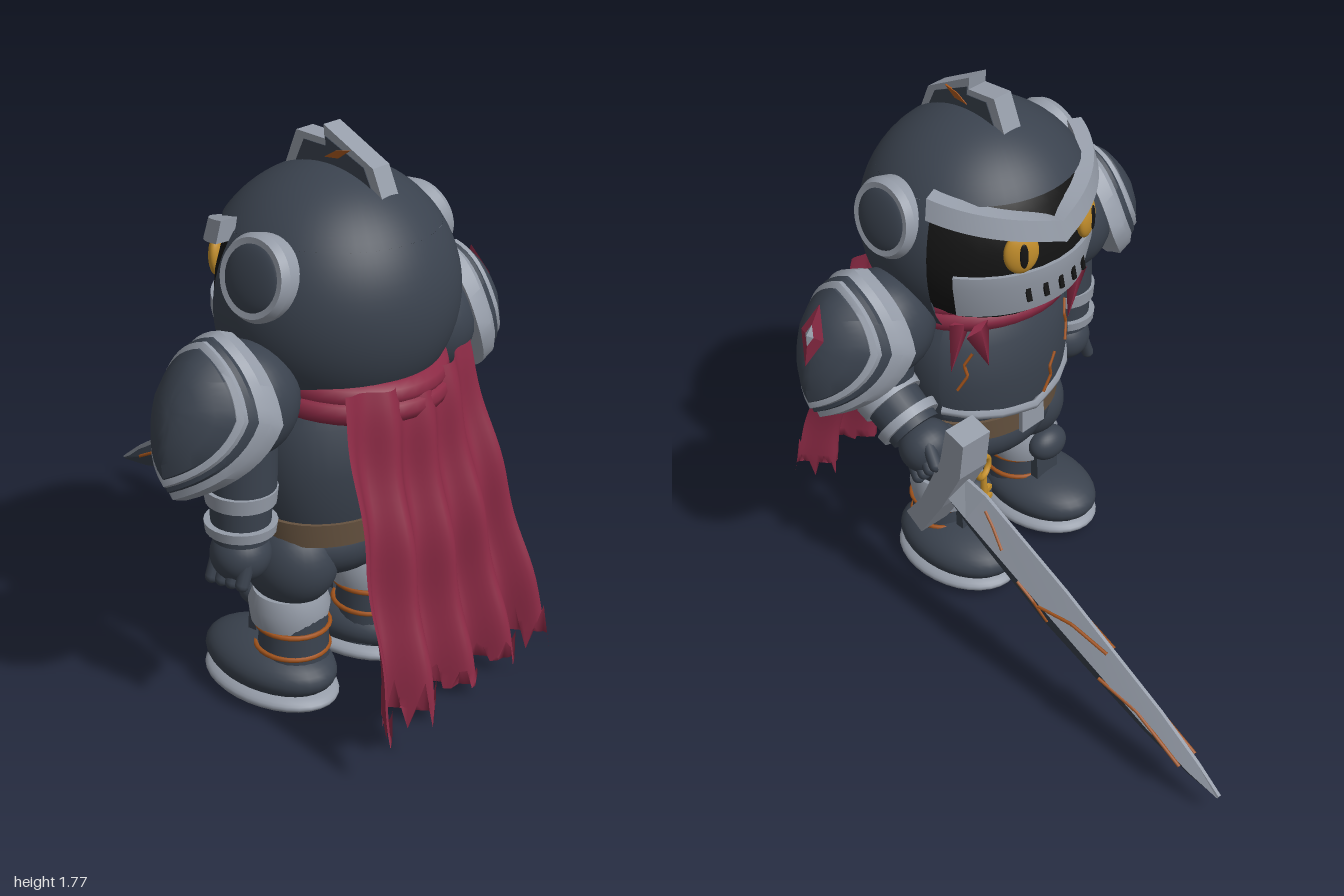
import * as THREE from 'three';
import { toCreasedNormals } from 'three/addons/utils/BufferGeometryUtils.js';

const V = (x, y, z) => new THREE.Vector3(x, y, z);
const paint = (name, color, side = THREE.FrontSide) => Object.assign(new THREE.MeshStandardMaterial({ color, side }), { name });

// Closed solid through rings of points, wound outward
function loft(rings, crease = 0.6) {
  const n = rings[0].length, pts = rings.flat(), idx = [];
  for (let i = 0; i < rings.length - 1; i++) for (let j = 0; j < n; j++) {
    const a = i * n + j, b = i * n + (j + 1) % n;
    idx.push(a, b, b + n, a, b + n, a + n);
  }
  [0, rings.length - 1].forEach((r, end) => {
    const c = pts.length;
    pts.push(rings[r].reduce((s, p) => s.add(p), V(0, 0, 0)).divideScalar(n));
    for (let j = 0; j < n; j++) {
      const a = r * n + j, b = r * n + (j + 1) % n;
      end ? idx.push(c, a, b) : idx.push(c, b, a);
    }
  });
  let volume = 0;
  for (let i = 0; i < idx.length; i += 3) volume += pts[idx[i]].dot(pts[idx[i + 1]].clone().cross(pts[idx[i + 2]]));
  if (volume < 0) idx.reverse();
  const g = new THREE.BufferGeometry().setFromPoints(pts);
  g.setIndex(idx);
  return toCreasedNormals(g, crease);
}

// Flat plate drawn as (z, y) points, thick along x
function plate(points, depth) {
  const g = new THREE.ExtrudeGeometry(new THREE.Shape(points.map(p => new THREE.Vector2(...p))), { depth, bevelEnabled: false });
  return g.translate(0, 0, -depth / 2).rotateY(-Math.PI / 2);
}

const ball = (x, y, z) => new THREE.SphereGeometry(1, 32, 20).scale(x, y, z);
const lathe = (pts, start = 0, len = Math.PI * 2) => toCreasedNormals(
  new THREE.LatheGeometry(pts.map(p => new THREE.Vector2(...p)), 40, start, len), 0.6);
const cord = (pts, r) => {
  const path = new THREE.CurvePath();
  for (let i = 1; i < pts.length; i++) path.add(new THREE.LineCurve3(pts[i - 1], pts[i]));
  return new THREE.TubeGeometry(path, 16, r, 5);
};

export function createModel() {
  const dark = paint('dark steel', 0x3a424e, THREE.DoubleSide), steel = paint('pale steel', 0x959ca8, THREE.DoubleSide);
  const red = paint('red cloth', 0x8c2a45, THREE.DoubleSide), black = paint('black', 0x141414);
  const gold = paint('gold', 0xc48f2c), rust = paint('rust', 0xa3541c), leather = paint('leather', 0x65523f);
  const root = new THREE.Group();
  const group = (name, x = 0, y = 0, z = 0, parent = root) => {
    const g = new THREE.Group();
    g.name = name; g.position.set(x, y, z); parent.add(g);
    return g;
  };
  const add = (parent, name, geo, mat, x = 0, y = 0, z = 0, rx = 0, ry = 0, rz = 0) => {
    const m = new THREE.Mesh(geo, mat);
    m.name = name; m.position.set(x, y, z); m.rotation.set(rx, ry, rz); parent.add(m);
    return m;
  };

  // Helmet: domed cap and back shell around a black face
  const head = group('head', 0, 1.29, 0.4), gap = 1.22, R = 0.375;
  add(head, 'helmetCap', new THREE.SphereGeometry(R, 48, 16, 0, Math.PI * 2, 0, 0.98), dark);
  add(head, 'helmetShell', new THREE.SphereGeometry(R, 48, 24, Math.PI * 1.5 + gap, 2 * Math.PI - 2 * gap, 0.98, Math.PI - 0.98), dark);
  add(head, 'face', ball(0.335, 0.35, 0.335), black);
  add(head, 'chinGuard', lathe([[0.27, -0.17], [0.32, -0.17], [0.345, -0.06], [0.345, -0.02], [0.31, -0.02], [0.27, -0.17]], Math.PI - 1.03, 2.06), steel);
  for (let i = -2; i <= 2; i++) {
    const a = i * 0.18;
    add(head, 'breathSlot', new THREE.BoxGeometry(0.016, 0.075, 0.008), black, 0.338 * Math.sin(a), -0.085, -0.338 * Math.cos(a), 0.2, -a, 0);
  }
  const browRings = [];
  for (let i = -16; i <= 16; i++) {
    const a = i / 16 * 1.22, y = 0.085 + 0.13 * Math.pow(Math.abs(i) / 16, 0.8);
    browRings.push([[0.31, -0.03], [0.365, -0.035], [0.35, 0.03], [0.3, 0.035]].map(([r, h]) => V(r * Math.sin(a), y + h, -r * Math.cos(a))));
  }
  add(head, 'brow', loft(browRings), steel);
  for (const s of [-1, 1]) {
    const eye = group('eye', s * 0.14, 0.055, -0.312, head);
    eye.rotation.y = -s * 0.42;
    add(eye, 'iris', ball(0.056, 0.07, 0.025), gold);
    add(eye, 'pupil', ball(0.014, 0.042, 0.006), black, 0, 0, -0.023);
    const ear = group('earDisc', s * 0.345, 0.125, 0.035, head);
    ear.rotation.z = -s * (Math.PI / 2 - 0.2);
    add(ear, 'earRim', lathe([[0, -0.06], [0.12, -0.06], [0.125, 0.01], [0.112, 0.032], [0.095, 0.03], [0, 0.02]]), steel);
    add(ear, 'earBoss', ball(0.1, 0.025, 0.1), dark, 0, 0.022, 0);
  }
  // Crest with inset panels and a crack
  const crest = [[0.62, 1.57], [0.57, 1.68], [0.39, 1.77], [0.395, 1.73], [0.29, 1.735], [0.24, 1.6], [0.42, 1.55]];
  add(root, 'crest', plate(crest, 0.07), steel);
  add(root, 'crestPanel', plate(crest.map(([z, y]) => [0.43 + (z - 0.43) * 0.78, 1.67 + (y - 1.67) * 0.68]), 0.076), dark);
  add(root, 'crestCrack', plate([[0.49, 1.715], [0.45, 1.685], [0.4, 1.68], [0.44, 1.705]], 0.082), rust);

  // Torso, breastplate, belt
  const body = group('body', 0, 0, 0.42);
  body.scale.z = 0.8;
  add(body, 'torso', lathe([[0, 0.55], [0.24, 0.57], [0.27, 0.66], [0.295, 0.8], [0.28, 0.95], [0.2, 1.07], [0, 1.1]]), dark);
  add(body, 'breastplate', lathe([[0.27, 0.68], [0.295, 0.68], [0.315, 0.8], [0.3, 0.95], [0.25, 1.02], [0.2, 1.02]], Math.PI - 1.15, 2.3), dark);
  const hem = [-1.15, -0.75, -0.4, 0, 0.4, 0.75, 1.15].map(a => V(0.302 * Math.sin(a), 0.66 + 0.05 * Math.abs(a), -0.302 * Math.cos(a)));
  add(body, 'breastplateTrim', cord(hem, 0.016), steel);
  add(body, 'hips', ball(0.25, 0.14, 0.25), dark, 0, 0.53, 0);
  add(body, 'belt', lathe([[0.24, 0.57], [0.272, 0.57], [0.278, 0.645], [0.24, 0.645]]), leather);
  add(body, 'buckle', new THREE.BoxGeometry(0.1, 0.085, 0.02), steel, 0, 0.607, -0.28);
  for (const [a, y] of [[-0.75, 0.88], [0.75, 0.88], [-0.3, 0.76]]) {
    const crack = [[0, 0.06], [0.1, 0.02], [0.06, -0.02], [0.18, -0.07]].map(([d, h]) => {
      const t = a + d, r = 0.318 - Math.abs(y + h - 0.8) * 0.1;
      return V(r * Math.sin(t), y + h, -r * Math.cos(t));
    });
    add(body, 'chestCrack', cord(crack, 0.006), rust);
  }

  // Scarf rolls and front tatters
  [[1.09, 0.26], [1.045, 0.27]].forEach(([y, r]) =>
    add(root, 'scarfRoll', new THREE.TorusGeometry(r, 0.042, 10, 40).scale(1, 1.03, 1), red, 0, y, 0.455, Math.PI / 2 + 0.06, 0, 0));
  for (const s of [-1, 1]) for (const [dx, a] of [[0, 0.25], [0.06, -0.3]])
    add(root, 'scarfTatter', new THREE.ConeGeometry(0.05, 0.17, 4).scale(1, 1, 0.3), red, s * (0.2 + dx), 0.98, 0.2 + dx, Math.PI, 0, s * a);

  // Cape: folded sheet with a torn hem
  const cape = new THREE.PlaneGeometry(2, 1, 64, 28), cp = cape.attributes.position;
  for (let i = 0; i < cp.count; i++) {
    const u = cp.getX(i), v = 0.5 - cp.getY(i), col = i % 65;
    const tear = v > 0.99 ? [0, 0.05, 0.1, 0.04][col % 4] - 0.03 * Math.sin(col * 1.7) : 0;
    cp.setXYZ(i, u * (0.28 + 0.105 * v), 1.1 - 0.93 * v + tear + 0.02 * (1 - v) * u * u,
      0.74 + 0.2 * v - 0.06 * u * u * (1 - v) + (0.012 + 0.04 * v) * Math.cos(u * Math.PI * 4) + 0.008 * Math.sin(v * 16 + 2 * u * u));
  }
  cape.computeVertexNormals();
  add(root, 'cape', cape, red);

  // Pauldrons: layered shield-shaped domes
  const half = new THREE.Path().moveTo(0, 0.24).quadraticCurveTo(0.14, 0.2, 0.19, 0.04).quadraticCurveTo(0.18, -0.14, 0, -0.24).getPoints(9);
  const outline = [...half, ...half.slice(1, -1).reverse().map(p => new THREE.Vector2(-p.x, p.y))];
  const shield = steps => loft(steps.map(([s, d]) => outline.map(p => V(d - 2.3 * (p.x * s) ** 2, p.y * s, p.x * s))));
  for (const s of [-1, 1]) {
    const p = group('pauldron', s * 0.555, 1.07, 0.43);
    p.rotation.set(0, s < 0 ? Math.PI : 0, 0.39);
    add(p, 'rim', shield([[0.8, -0.025], [1, -0.025], [1, 0.03], [0.9, 0.05]]), steel);
    add(p, 'rimGroove', shield([[0.93, 0.02], [0.91, 0.06], [0.84, 0.07]]), dark);
    add(p, 'innerRing', shield([[0.87, 0.04], [0.85, 0.082], [0.78, 0.088]]), steel);
    add(p, 'dome', shield([[0.8, 0.06], [0.76, 0.094], [0.6, 0.115], [0.4, 0.13], [0.2, 0.137], [0.04, 0.14]]), dark);
    if (s > 0) {
      add(p, 'diamond', new THREE.OctahedronGeometry(1).scale(0.018, 0.1, 0.05), red, 0.14, 0.04, 0);
      add(p, 'diamondHeart', new THREE.OctahedronGeometry(1).scale(0.012, 0.035, 0.018), steel, 0.152, 0.04, 0);
    }
  }

  // Arms: the right-hand one hangs, the sword arm bends forward
  for (const s of [-1, 1]) {
    const arm = group(s > 0 ? 'swordArm' : 'restingArm');
    add(arm, 'shoulder', ball(0.165, 0.17, 0.16), dark, s * 0.4, 1.07, 0.43);
    add(arm, 'upperArm', new THREE.CapsuleGeometry(0.1, 0.18, 8, 24), dark, s * 0.41, 0.91, 0.44);
    const fore = group('forearm', s * 0.415, 0.83, 0.44, arm);
    fore.rotation.x = s > 0 ? 0.98 : 0;
    add(fore, 'sleeve', new THREE.CylinderGeometry(0.095, 0.085, 0.2, 24), dark, 0, -0.08, 0);
    [[-0.04, 0.045], [-0.14, 0.03]].forEach(([y, h]) =>
      add(fore, 'wristBand', new THREE.CylinderGeometry(0.107, 0.103, h, 24), steel, 0, y, 0));
    add(fore, 'hand', ball(0.09, 0.085, 0.09), dark, 0, -0.235, 0);
    for (let i = 0; i < 4; i++)
      add(fore, 'finger', new THREE.CapsuleGeometry(0.021, 0.07, 4, 10), dark, s * 0.045, -0.28 + i * 0.006, -0.06 + i * 0.04, 0, 0, s * 0.35);
    add(fore, 'thumb', new THREE.CapsuleGeometry(0.024, 0.06, 4, 10), dark, -s * 0.07, -0.26, -0.04, 0.4, 0, 0);
  }

  // Sword: local y runs to the tip, local z to the upper edge
  const sword = group('sword', 0.425, 0.63, 0.12);
  sword.rotation.set(-2.02, 0, -0.03);
  const blade = [[0.03, 0.06, -0.09, 0.045], [0.12, 0.082, -0.105, 0.045], [0.5, 0.078, -0.125, 0.042], [0.95, 0.048, -0.09, 0.034], [1.13, 0.02, -0.055, 0.02], [1.24, -0.008, -0.018, 0.002]];
  add(sword, 'blade', loft(blade.map(([y, a, b, t]) => [V(0, y, a), V(t, y, -0.015), V(0, y, b), V(-t, y, -0.015)]), 0.1), dark);
  add(sword, 'bladeBevel', loft(blade.map(([y, a, , t]) => [V(-0.008, y, a + 0.003), V(0.003, y, a + 0.004), V(t + 0.003, y, -0.012), V(0, y, -0.012)]), 0.1), steel);
  const cracks = [[[0.15, 0.055], [0.2, 0.04], [0.27, 0.012]], [[0.37, -0.016], [0.44, -0.03], [0.51, -0.08]],
    [[0.47, -0.017], [0.58, 0.03], [0.72, 0.055]], [[0.75, -0.024], [0.9, 0], [1.1, -0.01]]];
  for (const c of cracks) for (const s of [-1, 1])
    add(sword, 'bladeCrack', cord(c.map(([y, z]) => V(s * (0.045 * (1 - Math.abs(z + 0.015) / 0.1) * (y > 0.8 ? 0.75 : 1) + 0.003), y, z)), 0.006), rust);
  add(sword, 'guard', plate([[0.237, -0.076], [0.25, 0.002], [0.12, 0.042], [-0.063, 0.034], [-0.254, 0.01], [-0.244, -0.07], [-0.12, -0.045], [0.1, -0.045]], 0.11), steel);
  add(sword, 'grip', new THREE.CylinderGeometry(0.03, 0.03, 0.24, 14), leather, 0, -0.14, 0);
  add(sword, 'pommel', ball(0.045, 0.04, 0.045), steel, 0, -0.27, 0);

  // Legs and boots
  for (const s of [-1, 1]) {
    const leg = group('leg', s * 0.18, 0, 0.42);
    add(leg, 'thigh', ball(0.135, 0.15, 0.155), dark, 0, 0.48, 0);
    add(leg, 'shin', new THREE.CylinderGeometry(0.1, 0.115, 0.26, 24), dark, 0, 0.21, 0.02);
    add(leg, 'bootCuff', lathe([[0.09, 0.27], [0.116, 0.27], [0.125, 0.33], [0.11, 0.375], [0.08, 0.375]]), steel);
    add(leg, 'kneeCap', ball(0.075, 0.06, 0.055), dark, 0, 0.33, -0.12);
    add(leg, 'shinGuard', new THREE.BoxGeometry(0.1, 0.18, 0.03), dark, 0, 0.24, -0.105);
    [0.19, 0.265].forEach(y => add(leg, 'bootStrap', new THREE.TorusGeometry(0.112, 0.008, 6, 28), rust, 0, y, 0.015, Math.PI / 2));
    add(leg, 'boot', ball(0.155, 0.09, 0.235), dark, s * 0.015, 0.115, -0.06);
    add(leg, 'sole', ball(0.163, 0.047, 0.238), steel, s * 0.015, 0.047, -0.055);
  }

  // Key on the belt
  const key = group('key', 0.245, 0.545, 0.175);
  key.rotation.y = 0.3;
  add(key, 'keyRing', new THREE.TorusGeometry(0.035, 0.011, 8, 20), gold);
  add(key, 'keyShaft', new THREE.CylinderGeometry(0.011, 0.011, 0.12, 8), gold, 0, -0.09, 0);
  [-0.105, -0.14].forEach(y => add(key, 'keyTooth', new THREE.BoxGeometry(0.04, 0.015, 0.015), gold, -0.02, y, 0));
  return root;
}
